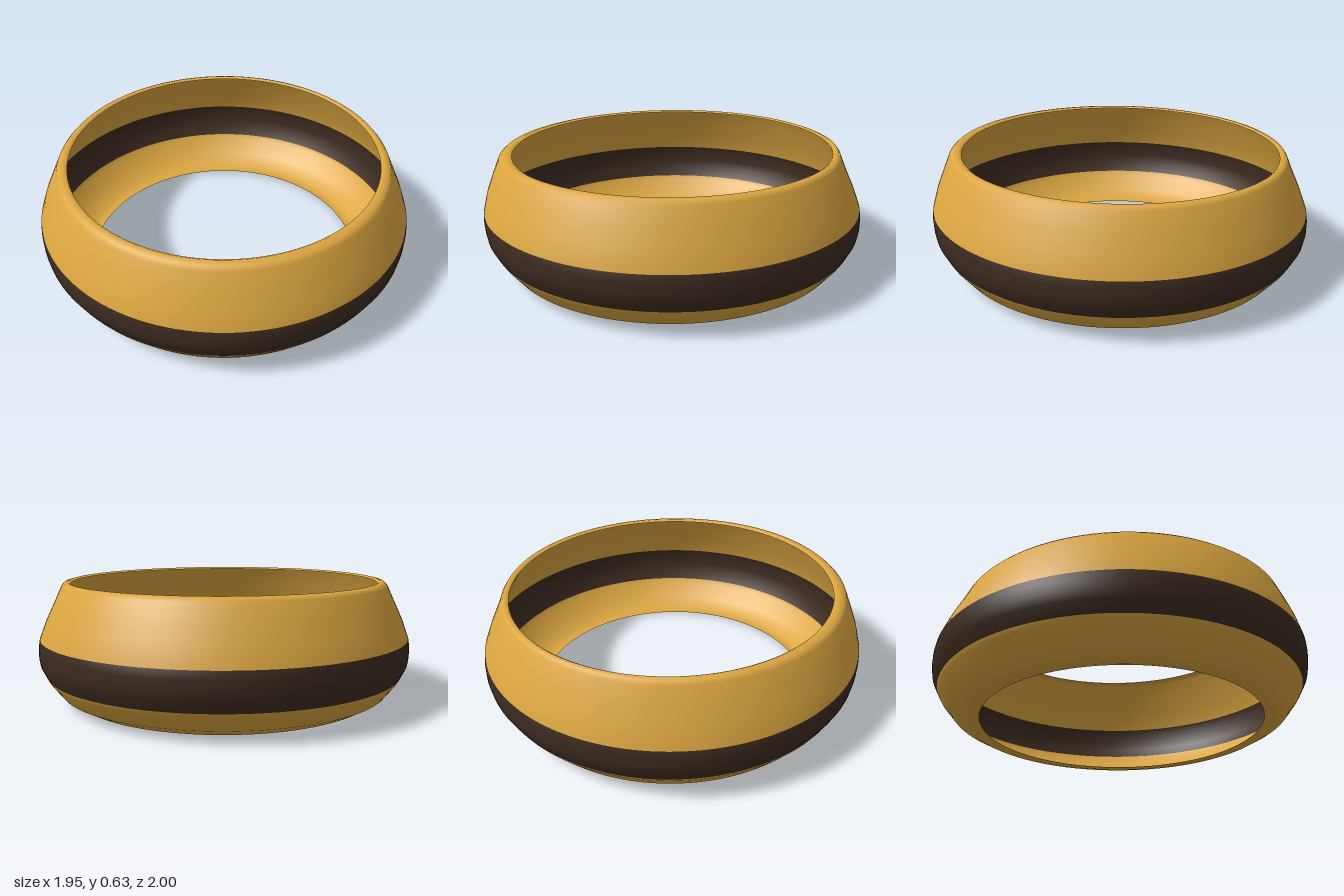
import * as THREE from 'three';

const BAND_LOW = 0.148, BAND_HIGH = 0.34, HEIGHT = 0.628, SEGMENTS = 128;

// The ring is slightly oval, more so towards the rim.
const oval = (y) => 1.02 + 0.026 * (y / HEIGHT) ** 2;

// Cross-section of the thin shell from the lower opening up to the inner lip,
// as [radius, height, shift towards the front].
const profile = [
  [0.73, 0.008, 0.014], [0.76, 0.002, 0.01], [0.8, 0.01, 0.006], [0.87, 0.05, 0.002],
  [0.93, 0.127, 0], [0.942, BAND_LOW, 0], [0.97, 0.205, 0], [0.977, 0.25, 0],
  [0.977, 0.3, 0.002], [0.971, BAND_HIGH, 0.004], [0.937, 0.433, 0.01],
  [0.892, 0.53, 0.014], [0.857, 0.606, 0.014], [0.842, 0.622, 0.01],
  [0.818, HEIGHT, 0.002], [0.804, 0.618, 0],
];

function shellGeometry() {
  const geo = new THREE.LatheGeometry(profile.map(([r, y]) => new THREE.Vector2(r, y)), SEGMENTS);
  const pos = geo.attributes.position, nor = geo.attributes.normal;
  const n = new THREE.Vector3();
  for (let i = 0; i < pos.count; i++) {
    const k = oval(pos.getY(i));
    pos.setZ(i, pos.getZ(i) * k + profile[i % profile.length][2]);
    n.fromBufferAttribute(nor, i);
    n.z /= k;
    n.normalize();
    nor.setXYZ(i, n.x, n.y, n.z);
  }
  return geo;
}

// Keep only the rows of faces between two heights, sharing smooth normals.
function rows(geo, low, high) {
  const part = geo.clone(), steps = profile.length - 1, src = geo.index.array, kept = [];
  for (let q = 0; q < src.length / 6; q++) {
    const j = q % steps;
    const mid = (profile[j][1] + profile[j + 1][1]) / 2;
    if (mid > low && mid < high) kept.push(...src.slice(q * 6, q * 6 + 6));
  }
  part.setIndex(kept);
  return part;
}

export function createModel() {
  const group = new THREE.Group();
  group.name = 'ring';
  const gold = new THREE.MeshStandardMaterial({ color: 0xdca640, side: THREE.DoubleSide });
  gold.name = 'gold';
  const dark = new THREE.MeshStandardMaterial({ color: 0x3c2b20, side: THREE.DoubleSide });
  dark.name = 'dark brown';

  // Rounded base, dark middle band and tapering upper wall with its lip
  const shell = shellGeometry();
  for (const [name, material, low, high] of [
    ['base', gold, 0, BAND_LOW],
    ['band', dark, BAND_LOW, BAND_HIGH],
    ['upperWall', gold, BAND_HIGH, HEIGHT],
  ]) {
    const mesh = new THREE.Mesh(rows(shell, low, high), material);
    mesh.name = name;
    group.add(mesh);
  }
  return group;
}
